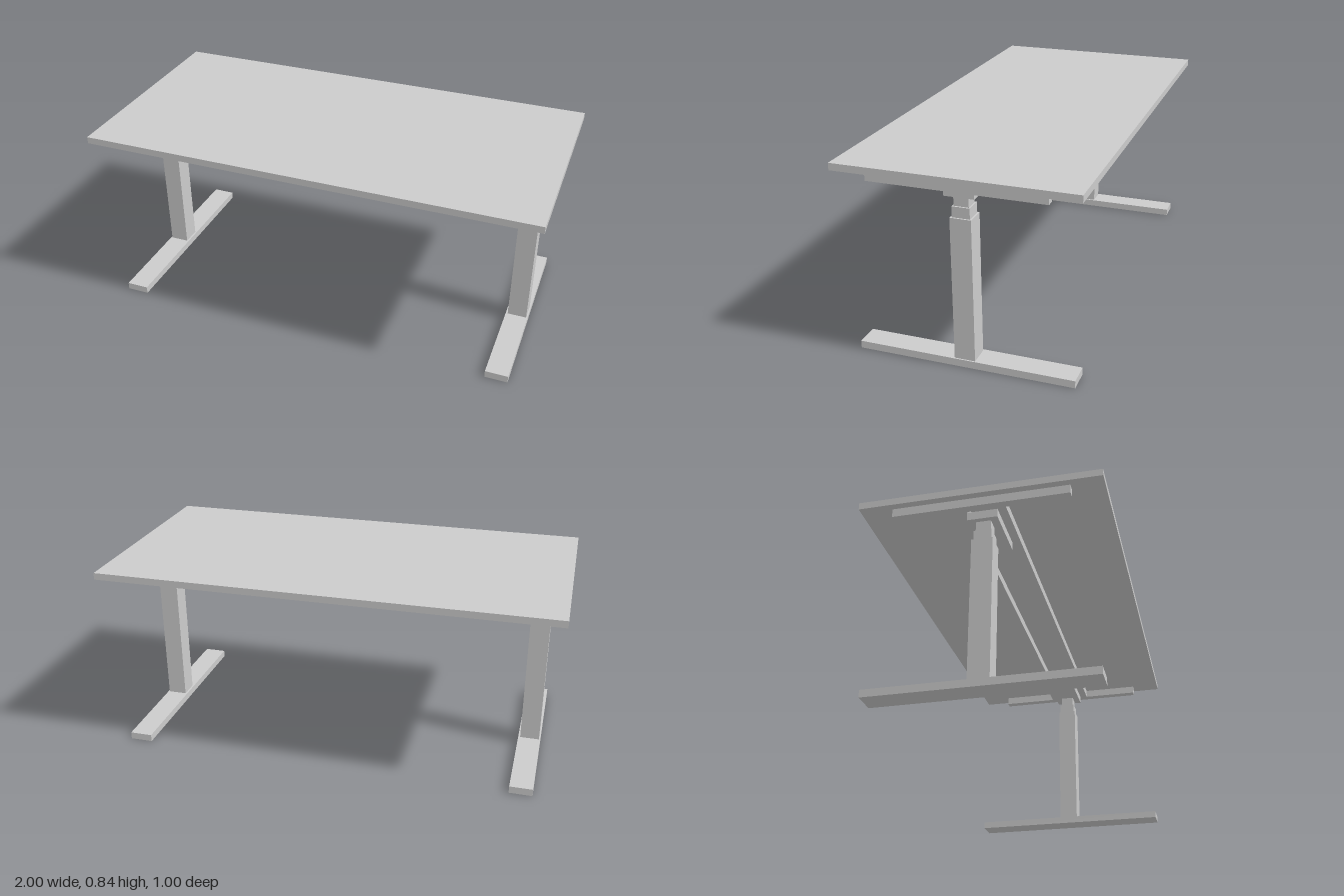
import * as THREE from 'three';

const material = new THREE.MeshStandardMaterial({ color: 0xcccccc, flatShading: true });

// Box given by its extents along each axis
function box(name, [x0, x1], [y0, y1], [z0, z1]) {
  const mesh = new THREE.Mesh(new THREE.BoxGeometry(x1 - x0, y1 - y0, z1 - z0), material);
  mesh.position.set((x0 + x1) / 2, (y0 + y1) / 2, (z0 + z1) / 2);
  mesh.name = name;
  return mesh;
}

// One lifting leg with its foot, motor housing and top bracket; side is +1 or -1
function createLeg(side) {
  const leg = new THREE.Group();
  leg.name = side > 0 ? 'leftLeg' : 'rightLeg';
  const span = (a, b) => (side > 0 ? [a, b] : [-b, -a]);
  const around = (half) => span(0.88 - half, 0.88 + half);

  leg.add(box('foot', span(0.828, 0.929), [0, 0.032], [-0.462, 0.462]));
  // Telescoping column, widest stage at the bottom
  leg.add(box('outerColumn', around(0.043), [0.032, 0.645], [-0.044, 0.044]));
  leg.add(box('middleColumn', around(0.036), [0.645, 0.69], [-0.037, 0.037]));
  leg.add(box('innerColumn', around(0.029), [0.69, 0.735], [-0.031, 0.031]));
  leg.add(box('motorHousing', span(0.685, 0.93), [0.735, 0.771], [-0.063, 0.063]));
  leg.add(box('sideBracket', span(0.935, 0.97), [0.771, 0.808], [-0.366, 0.366]));
  return leg;
}

export function createModel() {
  const desk = new THREE.Group();
  desk.name = 'standingDesk';
  desk.add(box('tabletop', [-1, 1], [0.808, 0.838], [-0.5, 0.5]));
  desk.add(createLeg(1), createLeg(-1));
  // Two long rails joining the side brackets
  for (const z of [-0.08, 0.08]) {
    desk.add(box(z > 0 ? 'frontRail' : 'backRail', [-0.935, 0.935], [0.771, 0.808], [z - 0.019, z + 0.019]));
  }
  return desk;
}
